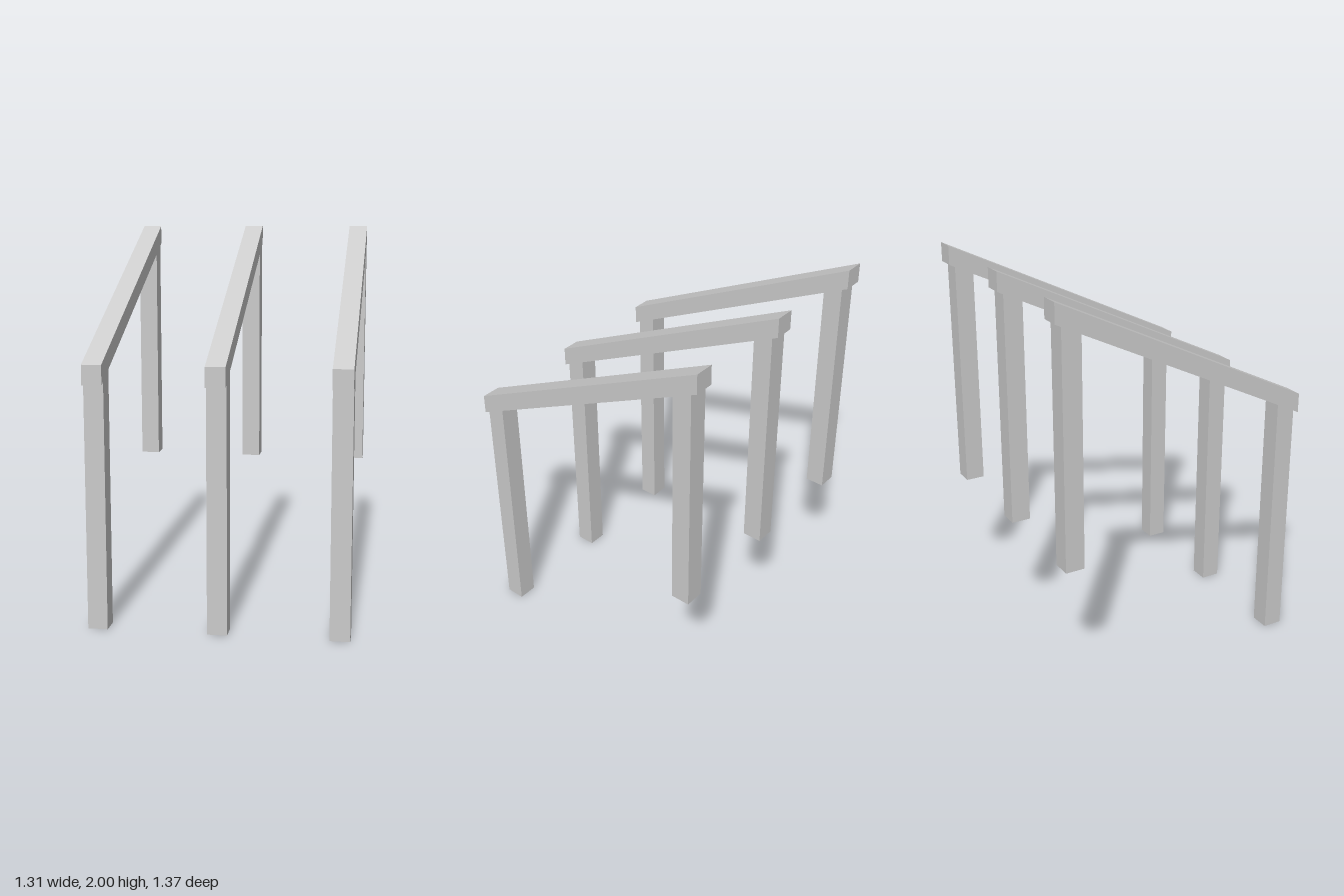
import * as THREE from 'three';

const WIDTH = 0.1;           // thickness of every timber along x
const BEAM_DEPTH = 0.1;      // vertical depth of the sloping beam
const HALF_LENGTH = 0.683;   // half the beam's run along z
const FRONT_TOP = 1.33, BACK_TOP = 2;

const material = new THREE.MeshStandardMaterial({ color: 0xcccccc, flatShading: true });

// Height of the beam's underside at a given z
function underside(z) {
  const t = (HALF_LENGTH - z) / (2 * HALF_LENGTH);
  return FRONT_TOP + (BACK_TOP - FRONT_TOP) * t - BEAM_DEPTH;
}

// Extrude a side outline of [z, y] corners across the timber's width
function timber(name, corners) {
  const shape = new THREE.Shape(corners.map(([z, y]) => new THREE.Vector2(z, y)));
  const geometry = new THREE.ExtrudeGeometry(shape, { depth: WIDTH, bevelEnabled: false });
  geometry.translate(0, 0, -WIDTH / 2).rotateY(-Math.PI / 2);
  const mesh = new THREE.Mesh(geometry, material);
  mesh.name = name;
  return mesh;
}

// Upright post, its top cut to the slope of the beam
function post(name, z, bottom) {
  const z0 = z - 0.05, z1 = z + 0.05;
  return timber(name, [[z0, bottom], [z1, bottom], [z1, underside(z1)], [z0, underside(z0)]]);
}

// One frame: sloping beam with plumb-cut ends on two posts
function createFrame() {
  const frame = new THREE.Group();
  const L = HALF_LENGTH;
  frame.add(
    timber('slopingBeam', [
      [-L, BACK_TOP - BEAM_DEPTH], [L, FRONT_TOP - BEAM_DEPTH], [L, FRONT_TOP], [-L, BACK_TOP],
    ]),
    post('frontPost', 0.603, 0),
    post('backPost', -0.603, 0.67),
  );
  return frame;
}

export function createModel() {
  const model = new THREE.Group();
  model.name = 'slopingFrames';
  const places = { rightFrame: -0.603, middleFrame: 0, leftFrame: 0.603 };
  for (const [name, x] of Object.entries(places)) {
    const frame = createFrame();
    frame.name = name;
    frame.position.x = x;
    model.add(frame);
  }
  return model;
}
